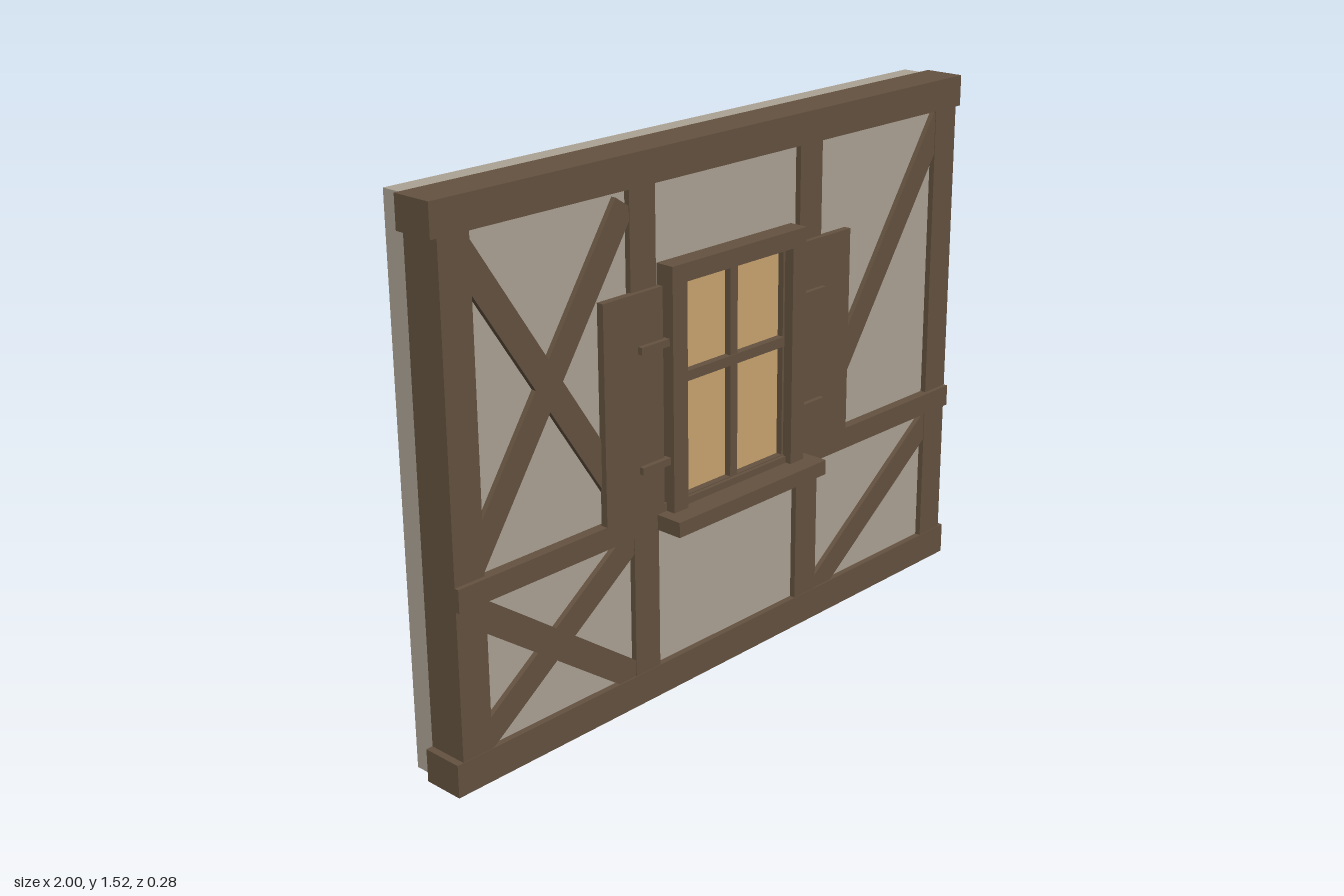
import * as THREE from 'three';

const material = (name, color) => {
  const m = new THREE.MeshStandardMaterial({ color });
  m.name = name;
  return m;
};

export function createModel() {
  const model = new THREE.Group();
  model.name = 'timberFramedWall';
  const wood = material('darkTimber', 0x645240);
  const plaster = material('plaster', 0xaca394);
  const glass = material('warmGlass', 0xcba470);

  // Box given by its extents on each axis
  function block(name, mat, [x0, x1], [y0, y1], [z0, z1]) {
    const mesh = new THREE.Mesh(new THREE.BoxGeometry(x1 - x0, y1 - y0, z1 - z0), mat);
    mesh.position.set((x0 + x1) / 2, (y0 + y1) / 2, (z0 + z1) / 2);
    mesh.name = name;
    model.add(mesh);
    return mesh;
  }

  // Diagonal timber between two points on the wall
  function brace(name, ax, ay, bx, by) {
    const length = Math.hypot(bx - ax, by - ay);
    const mesh = new THREE.Mesh(new THREE.BoxGeometry(length, 0.075, 0.1), wood);
    mesh.position.set((ax + bx) / 2, (ay + by) / 2, -0.005);
    mesh.rotation.z = Math.atan2(by - ay, bx - ax);
    mesh.name = name;
    model.add(mesh);
  }

  // Plaster infill and main horizontal timbers
  block('plasterWall', plaster, [-0.977, 0.977], [0.004, 1.518], [-0.14, 0.03]);
  block('bottomBeam', wood, [-1, 1], [0, 0.092], [-0.072, 0.048]);
  block('topBeam', wood, [-1, 1], [1.433, 1.522], [-0.072, 0.048]);
  block('middleRail', wood, [-0.98, 0.98], [0.505, 0.568], [-0.06, 0.06]);

  // Posts, shutters and hinges on both sides
  for (const side of [-1, 1]) {
    const span = (a, b) => (side > 0 ? [a, b] : [-b, -a]);
    block('cornerPost', wood, span(0.885, 0.98), [0.09, 1.435], [-0.072, 0.047]);
    block('innerPost', wood, span(0.281, 0.372), [0.09, 1.435], [-0.06, 0.047]);
    block('shutter', wood, span(0.272, 0.483), [0.567, 1.167], [0.04, 0.061]);
    for (const y of [0.69, 1.017]) {
      block('hinge', wood, span(0.255, 0.363), [y - 0.01, y + 0.01], [0.055, 0.075]);
    }
  }

  // Crossed braces on the right-hand bays, single braces on the left-hand bays
  brace('upperCrossBrace', -0.92, 0.59, -0.385, 1.40);
  brace('upperCrossBrace', -0.92, 1.40, -0.385, 0.59);
  brace('lowerCrossBrace', -0.93, 0.10, -0.36, 0.505);
  brace('lowerCrossBrace', -0.93, 0.49, -0.36, 0.085);
  brace('upperBrace', 0.345, 0.57, 0.91, 1.41);
  brace('lowerBrace', 0.345, 0.065, 0.92, 0.485);

  // Window casing and projecting sill
  for (const side of [-1, 1]) {
    block('frameSide', wood, side > 0 ? [0.208, 0.262] : [-0.262, -0.208], [0.545, 1.22], [-0.03, 0.087]);
    block('sashSide', wood, side > 0 ? [0.201, 0.21] : [-0.21, -0.201], [0.555, 1.168], [0, 0.058]);
  }
  block('frameTop', wood, [-0.21, 0.21], [1.17, 1.22], [-0.03, 0.087]);
  block('sashTop', wood, [-0.205, 0.205], [1.16, 1.172], [0, 0.058]);
  block('sashBottom', wood, [-0.205, 0.205], [0.54, 0.565], [0, 0.07]);
  block('windowSill', wood, [-0.298, 0.298], [0.502, 0.545], [0, 0.14]);

  // Glass and glazing bars
  block('windowGlass', glass, [-0.205, 0.205], [0.55, 1.168], [0.032, 0.04]);
  block('verticalBar', wood, [-0.014, 0.014], [0.55, 1.168], [0.035, 0.06]);
  block('horizontalBar', wood, [-0.205, 0.205], [0.888, 0.916], [0.035, 0.062]);

  return model;
}
